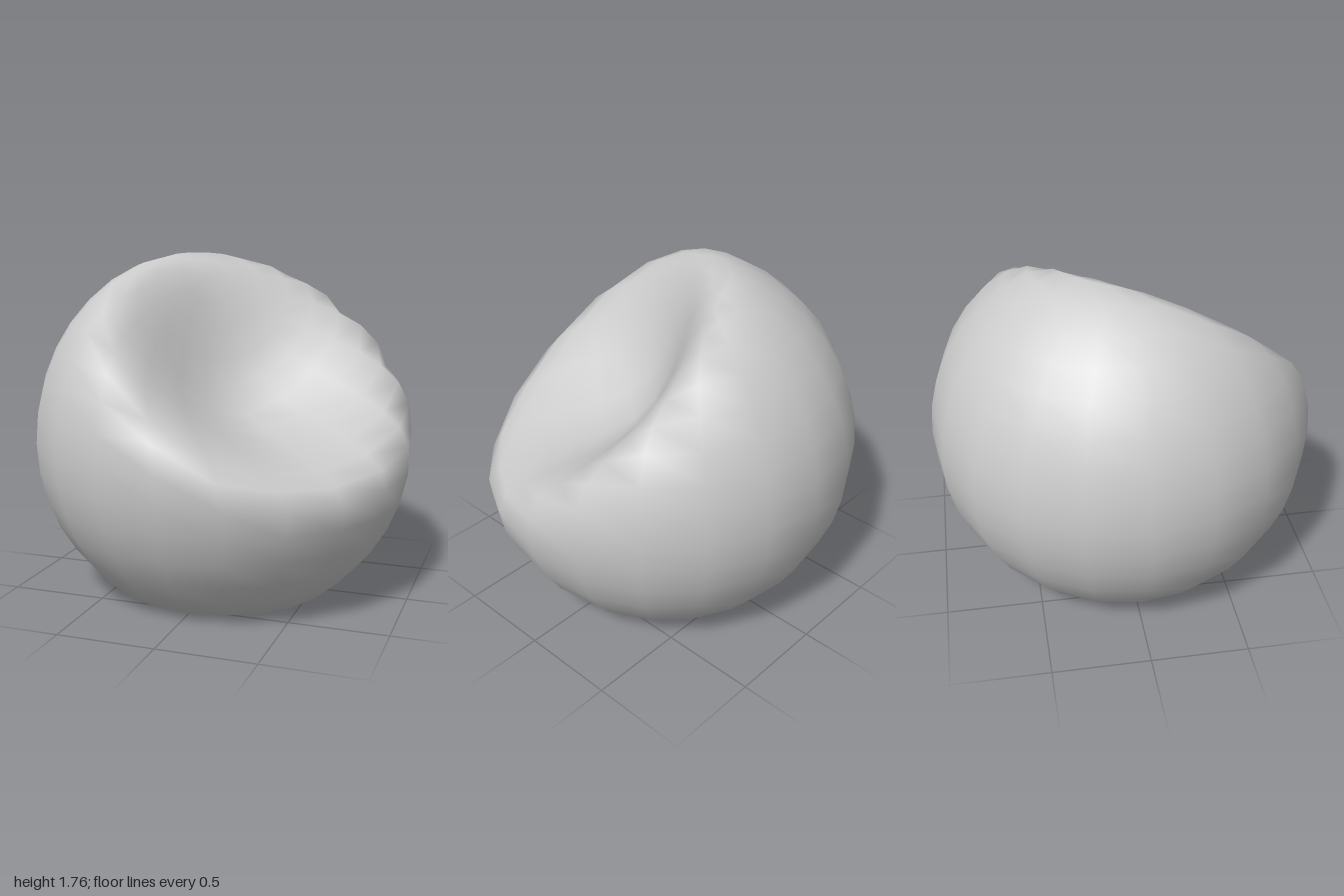
import * as THREE from 'three';
import { mergeVertices } from 'three/addons/utils/BufferGeometryUtils.js';

const RADIUS = 0.995;
const CENTRE_Y = 0.82;

// Polynomial smooth minimum, rounds the rim where the ball meets the seat
function smoothMin(a, b, k) {
  const h = Math.max(k - Math.abs(a - b), 0) / k;
  return Math.min(a, b) - h * h * k * 0.25;
}

export function createModel() {
  const group = new THREE.Group();
  group.name = 'beanbagChair';

  // Ball without uvs, so the seam and poles weld into one smooth skin
  let geometry = new THREE.SphereGeometry(RADIUS, 20, 20);
  geometry.deleteAttribute('uv');
  geometry.deleteAttribute('normal');
  geometry = mergeVertices(geometry, 1e-4);

  // Axis of the seat hollow: tilted up, towards the front left
  const elevation = THREE.MathUtils.degToRad(48);
  const azimuth = THREE.MathUtils.degToRad(39);
  const axis = new THREE.Vector3(
    Math.cos(elevation) * Math.cos(azimuth),
    Math.sin(elevation),
    Math.cos(elevation) * Math.sin(azimuth)
  );

  const pos = geometry.attributes.position;
  const p = new THREE.Vector3();
  for (let i = 0; i < pos.count; i++) {
    p.fromBufferAttribute(pos, i);

    // Seat: flatten the ball along the axis and scoop out the middle
    const height = p.dot(axis);
    if (height > 0) {
      const rho = Math.sqrt(Math.max(p.lengthSq() - height * height, 0));
      const seat = 0.52 - 0.32 * (1 - THREE.MathUtils.smoothstep(rho, 0, 0.8));
      p.addScaledVector(axis, smoothMin(height, seat, 0.1) - height);
    }

    // Flat underside resting on the floor
    p.y = Math.max(p.y + CENTRE_Y, 0);
    pos.setXYZ(i, p.x, p.y, p.z);
  }
  geometry.computeVertexNormals();

  const bag = new THREE.Mesh(geometry, new THREE.MeshStandardMaterial({ color: 0xcccccc }));
  bag.name = 'bag';
  group.add(bag);
  return group;
}
